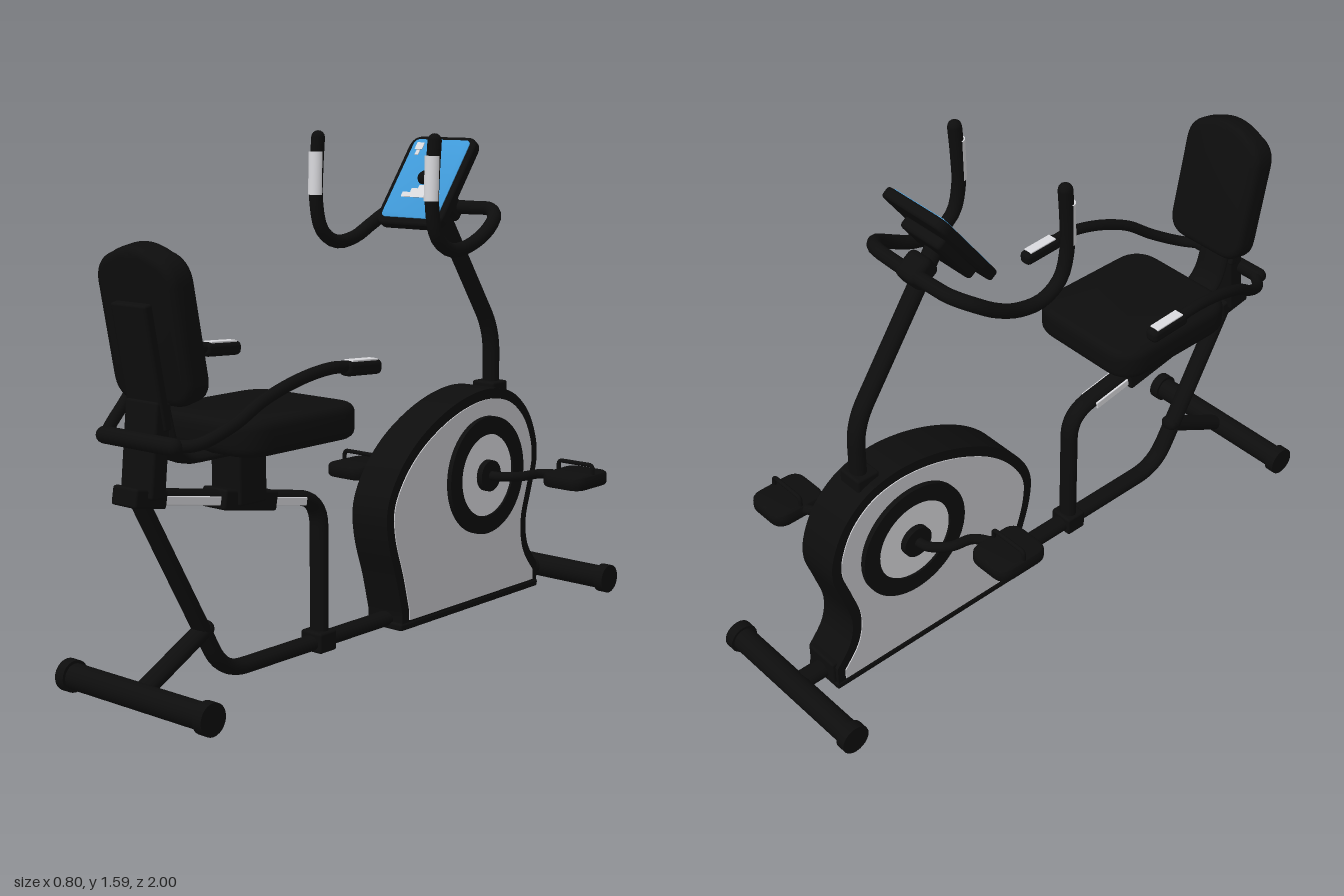
import * as THREE from 'three';
import { toCreasedNormals } from 'three/addons/utils/BufferGeometryUtils.js';
import { RoundedBoxGeometry } from 'three/addons/geometries/RoundedBoxGeometry.js';

const material = (name, color) => Object.assign(new THREE.MeshStandardMaterial({ color }), { name });
const V = (p) => new THREE.Vector3(...p);

export function createModel() {
  const black = material('black', 0x0d0d0d);
  const grey = material('panel grey', 0xc6c6ca);
  const silver = material('silver', 0xd8d8dc);
  const blue = material('screen blue', 0x3f98d6);
  const model = new THREE.Group();

  const add = (name, geo, mat, pos = [0, 0, 0], rot = [0, 0, 0], parent = model) => {
    const mesh = new THREE.Mesh(geo, mat);
    mesh.name = name;
    mesh.position.set(...pos);
    mesh.rotation.set(...rot);
    parent.add(mesh);
    return mesh;
  };
  const box = (name, size, pos, rot, mat = black, r = 0.008, parent = model) =>
    add(name, new RoundedBoxGeometry(...size, 2, r), mat, pos, rot, parent);

  // Straight runs joined by rounded bends
  const bend = (pts, r) => {
    const p = pts.map(V), path = new THREE.CurvePath();
    let from = p[0];
    for (let i = 1; i < p.length - 1; i++) {
      const a = p[i].clone().add(p[i - 1].clone().sub(p[i]).setLength(r));
      const b = p[i].clone().add(p[i + 1].clone().sub(p[i]).setLength(r));
      path.add(new THREE.LineCurve3(from, a));
      path.add(new THREE.QuadraticBezierCurve3(a, p[i], b));
      from = b;
    }
    path.add(new THREE.LineCurve3(from, p[p.length - 1]));
    return path;
  };
  const smooth = (pts) => new THREE.CatmullRomCurve3(pts.map(V));
  // Tube with rounded ends, optionally widened into an oval
  const tube = (name, curve, r, widen = 1) => {
    const g = new THREE.Group();
    g.name = name;
    add(name + 'Run', new THREE.TubeGeometry(curve, 64, r, 14), black, undefined, undefined, g);
    for (const t of [0, 1])
      add(name + 'End', new THREE.SphereGeometry(r, 14, 8), black, curve.getPoint(t).toArray(), undefined, g);
    g.scale.x = widen;
    model.add(g);
  };
  // Padded slab with rounded corners and an optional arched top, thickness along z
  const cushion = (w, h, d, r, bevel, arch = 0) => {
    const x = w / 2 - bevel, y = h / 2 - bevel, s = new THREE.Shape();
    s.moveTo(-x + r, -y).lineTo(x - r, -y).quadraticCurveTo(x, -y, x, -y + r);
    s.lineTo(x, y - r - arch).quadraticCurveTo(x, y - arch, x - r, y - arch * 0.6);
    s.quadraticCurveTo(0, y + arch * 0.6, -x + r, y - arch * 0.6);
    s.quadraticCurveTo(-x, y - arch, -x, y - r - arch).lineTo(-x, -y + r).quadraticCurveTo(-x, -y, -x + r, -y);
    const g = new THREE.ExtrudeGeometry(s, {
      depth: d - 2 * bevel, bevelSize: bevel, bevelThickness: bevel, bevelSegments: 4, curveSegments: 8,
    });
    return toCreasedNormals(g.translate(0, 0, bevel - d / 2), 0.7);
  };

  // Flywheel housing, outline in (z, y)
  const edge = new THREE.SplineCurve([
    [-0.115, 0.06], [-0.085, 0.18], [-0.045, 0.31], [-0.04, 0.42], [-0.09, 0.52], [-0.18, 0.61], [-0.30, 0.68],
    [-0.43, 0.725], [-0.56, 0.74], [-0.68, 0.715], [-0.77, 0.645], [-0.82, 0.55], [-0.83, 0.46], [-0.80, 0.36],
    [-0.772, 0.26], [-0.785, 0.17], [-0.84, 0.095],
  ].map((p) => new THREE.Vector2(...p)));
  const slab = (inset, base, depth) => {
    const pts = [];
    for (let i = 0; i <= 80; i++) {
      const p = edge.getPoint(i / 80), t = edge.getTangent(i / 80);
      pts.push(new THREE.Vector2(p.x + t.y * -inset * -1 * -1, p.y + t.x * inset));
    }
    pts.push(new THREE.Vector2(pts[80].x, base));
    pts.unshift(new THREE.Vector2(pts[0].x, base));
    const g = new THREE.ExtrudeGeometry(new THREE.Shape(pts), { depth, bevelEnabled: false });
    return toCreasedNormals(g.translate(0, 0, -depth / 2).rotateY(-Math.PI / 2), 0.6);
  };
  add('housing', slab(0, 0.015, 0.144), black);
  for (const s of [-1, 1]) add('housingPanel', slab(0.034, 0.04, 0.005), grey, [s * 0.073, 0, 0]);

  // Drive discs, cranks and pedals
  const axle = [-0.53, 0.455];
  const disc = (name, r, x, depth, mat) =>
    add(name, new THREE.CylinderGeometry(r, r, depth, 48), mat, [x, axle[1], axle[0]], [0, 0, Math.PI / 2]);
  for (const s of [-1, 1]) {
    const ring = new THREE.Shape().absarc(0, 0, 0.197, 0, Math.PI * 2);
    ring.holes.push(new THREE.Path().absarc(0, 0, 0.138, 0, Math.PI * 2, true));
    const ringGeo = new THREE.ExtrudeGeometry(ring, { depth: 0.025, bevelEnabled: false, curveSegments: 40 });
    add('discRing', toCreasedNormals(ringGeo.translate(0, 0, -0.0125), 0.6), black,
      [s * 0.08, axle[1], axle[0]], [0, Math.PI / 2, 0]);
    disc('discFace', 0.139, s * 0.077, 0.016, silver);
    disc('crankHub', 0.052, s * 0.088, 0.036, black);
    const z = (d) => axle[0] - s * d;
    tube('crank', smooth([[s * 0.09, 0.455, z(0)], [s * 0.14, 0.455, z(0.01)], [s * 0.185, 0.455, z(0.06)],
      [s * 0.205, 0.455, z(0.13)], [s * 0.26, 0.455, z(0.17)]]), 0.016);
    add('pedal', cushion(0.16, 0.19, 0.046, 0.035, 0.012), black, [s * 0.322, 0.45, z(0.172)], [-Math.PI / 2, 0, 0]);
    const x0 = s * 0.255, x1 = s * 0.39;
    tube('pedalStrap', bend([[x0, 0.46, z(0.172)], [x0, 0.502, z(0.172)], [x1, 0.502, z(0.172)],
      [x1, 0.46, z(0.172)]], 0.015), 0.007);
  }

  // Floor bars with end caps
  for (const z of [-0.952, 0.952]) {
    add('floorBar', new THREE.CylinderGeometry(0.039, 0.039, 0.56, 24), black, [0, 0.052, z], [0, 0, Math.PI / 2]);
    for (const s of [-1, 1])
      add('floorBarCap', new THREE.CylinderGeometry(0.048, 0.048, 0.034, 24), black, [s * 0.283, 0.052, z], [0, 0, Math.PI / 2]);
  }

  // Frame
  tube('mainFrame', bend([[0, 0.04, -0.15], [0, 0.04, 0.62], [0, 0.61, 0.935]], 0.09), 0.024, 1.35);
  tube('frontLink', bend([[0, 0.055, -0.8], [0, 0.055, -0.95]], 0), 0.026, 1.3);
  tube('rearStrut', bend([[0, 0.19, 0.69], [0, 0.053, 0.95]], 0), 0.025, 1.3);
  tube('seatPostAndRail', bend([[0, 0.03, 0.2], [0, 0.49, 0.2], [0, 0.625, 0.96]], 0.09), 0.024, 1.35);
  box('housingBase', [0.15, 0.025, 0.74], [0, 0.0225, -0.475]);
  box('housingFoot', [0.12, 0.08, 0.03], [0, 0.07, -0.835]);
  box('postBracket', [0.085, 0.065, 0.075], [0, 0.043, 0.203]);
  const tilt = 0.176;
  box('railClamp', [0.1, 0.055, 0.12], [0, 0.618, 0.93], [-tilt, 0, 0]);
  box('railSlider', [0.1, 0.06, 0.22], [0, 0.548, 0.54], [-tilt, 0, 0]);
  for (const s of [-1, 1]) {
    box('railStrip', [0.008, 0.026, 0.22], [s * 0.033, 0.583, 0.76], [-tilt, 0, 0], silver, 0.003);
    box('railStrip', [0.008, 0.026, 0.15], [s * 0.033, 0.513, 0.365], [-tilt, 0, 0], silver, 0.003);
  }

  // Seat and backrest
  box('seatPedestal', [0.12, 0.17, 0.112], [0, 0.625, 0.543]);
  add('seat', cushion(0.44, 0.49, 0.105, 0.07, 0.028), black, [0, 0.765, 0.475], [-Math.PI / 2, 0, 0]);
  tube('seatBracket', bend([[0, 0.705, 0.37], [0, 0.705, 0.83], [0, 0.95, 0.89]], 0.09), 0.02, 3);
  box('backPost', [0.13, 0.27, 0.055], [0, 0.75, 0.905], [-0.1, 0, 0]);
  box('backPlate', [0.14, 0.36, 0.03], [0, 0.98, 0.915], [0.19, 0, 0]);
  add('backrest', cushion(0.31, 0.45, 0.092, 0.05, 0.025, 0.035), black, [0, 1.095, 0.872], [0.19, 0, 0]);

  // Side handles beside the seat
  tube('sideHandleBar', bend([[-0.14, 0.775, 0.93], [0.14, 0.775, 0.93]], 0), 0.025);
  for (const s of [-1, 1]) {
    tube('sideHandle', smooth([[s * 0.12, 0.775, 0.93], [s * 0.18, 0.78, 0.88], [s * 0.225, 0.825, 0.79],
      [s * 0.252, 0.885, 0.70], [s * 0.272, 0.93, 0.58], [s * 0.284, 0.95, 0.46], [s * 0.285, 0.943, 0.36],
      [s * 0.285, 0.937, 0.28]]), 0.018);
    box('sideGrip', [0.046, 0.044, 0.15], [s * 0.285, 0.938, 0.332], [-0.06, 0, 0], black, 0.016);
    box('sideGripPlate', [0.034, 0.006, 0.11], [s * 0.285, 0.96, 0.33], [-0.06, 0, 0], silver, 0.002);
  }

  // Console column and handlebar
  tube('column', bend([[0, 0.68, -0.66], [0, 0.92, -0.66], [0, 1.44, -0.31]], 0.08), 0.025, 1.2);
  box('columnCollar', [0.09, 0.05, 0.08], [0, 0.725, -0.655]);
  const half = [[0.1, 1.345, -0.43], [0.165, 1.345, -0.425], [0.215, 1.325, -0.385], [0.235, 1.285, -0.32],
    [0.235, 1.245, -0.23], [0.235, 1.238, -0.14], [0.235, 1.28, -0.075], [0.235, 1.37, -0.05],
    [0.235, 1.47, -0.052], [0.235, 1.57, -0.06]];
  tube('handlebar', smooth([...half.map(([x, y, z]) => [-x, y, z]).reverse(), ...half]), 0.022);
  box('handlebarClamp', [0.09, 0.07, 0.09], [0, 1.345, -0.41], [-0.6, 0, 0], black, 0.02);
  for (const s of [-1, 1])
    add('handlebarGripPlate', new THREE.CylinderGeometry(0.025, 0.025, 0.135, 16, 1, false, -Math.PI / 2, Math.PI),
      silver, [s * 0.235, 1.458, -0.051], [-0.03, 0, 0]);

  // Console with screen
  const consoleGroup = new THREE.Group();
  consoleGroup.name = 'console';
  consoleGroup.position.set(0, 1.425, -0.32);
  consoleGroup.rotation.x = -0.637;
  model.add(consoleGroup);
  add('consoleBody', cushion(0.266, 0.335, 0.034, 0.035, 0.008), black, undefined, undefined, consoleGroup);
  box('consoleBack', [0.17, 0.2, 0.04], [0, -0.03, -0.03], undefined, black, 0.012, consoleGroup);
  add('screen', cushion(0.226, 0.296, 0.006, 0.02, 0.001), blue, [0, 0.004, 0.017], undefined, consoleGroup);
  const plate = (w, h, x, y) => add('screenCloud', new THREE.BoxGeometry(w, h, 0.003), silver, [x, y, 0.0205], undefined, consoleGroup);
  [[0.15, 0.018, 0.01, -0.06], [0.10, 0.016, 0.015, -0.044], [0.05, 0.014, 0.015, -0.03],
    [0.03, 0.026, -0.082, 0.125], [0.014, 0.02, -0.08, 0.1], [0.05, 0.01, -0.022, 0.128]].forEach((c) => plate(...c));
  return model;
}
